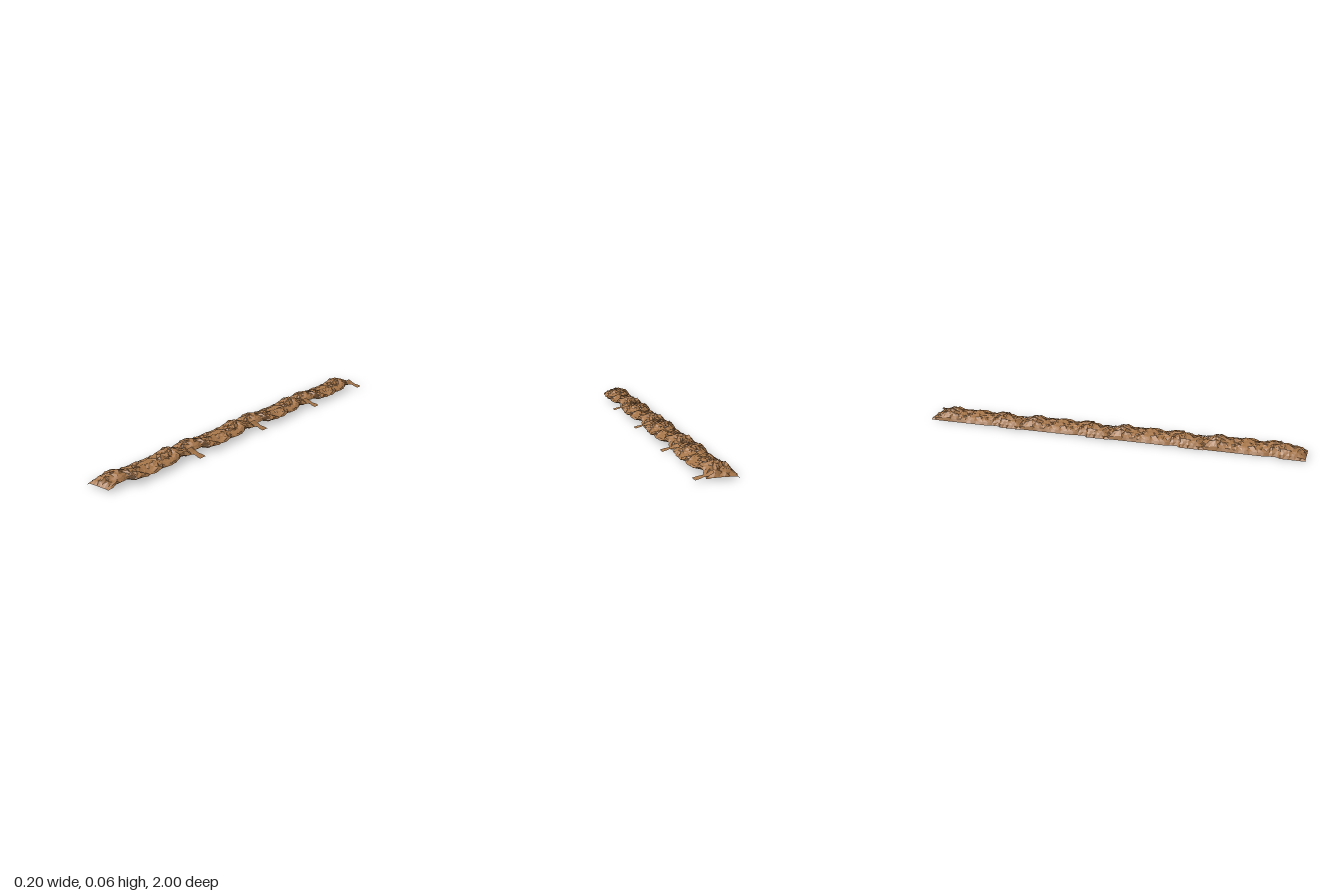
import * as THREE from 'three';

const LENGTH = 0.533, STEP = 0.489, ROWS = 40;

// piecewise linear lookup in [position, value] pairs
function sample(keys, t) {
  let i = 1;
  while (i < keys.length - 1 && t > keys[i][0]) i++;
  const [a, va] = keys[i - 1], [b, vb] = keys[i];
  return va + (vb - va) * THREE.MathUtils.clamp((t - a) / (b - a), 0, 1);
}

// small repeatable random generator
function seeded(seed) {
  return () => {
    seed = (seed * 16807) % 2147483647;
    return seed / 2147483647 - 0.5;
  };
}

// crest height, and the two side outlines, along one stretch of rock
const crest = [[0, 0.014], [0.03, 0.032], [0.07, 0.05], [0.1, 0.068], [0.14, 0.044], [0.2, 0.04],
  [0.25, 0.048], [0.32, 0.036], [0.36, 0.044], [0.43, 0.058], [0.48, 0.044], [0.515, 0.03], [0.533, 0.012]];
const leftEdge = [[0, -0.092], [0.34, -0.092], [0.36, -0.084], [0.4, -0.084], [0.41, -0.1], [0.533, -0.1]];
const rightEdge = [[0, 0.055], [0.04, 0.05], [0.07, 0.043], [0.1, 0.05], [0.16, 0.07],
  [0.4, 0.072], [0.41, 0.038], [0.533, 0.034]];

// cross-section from left to right: [part of width, part of height], with an undercut right side
const section = [[0, 0], [0.05, 0.25], [0.12, 0.5], [0.2, 0.78], [0.29, 0.78], [0.37, 0.92], [0.46, 0.92],
  [0.54, 1], [0.62, 0.98], [0.71, 0.88], [0.79, 0.82], [0.88, 0.72], [0.96, 0.6], [1, 0.4], [0.9, 0.2]];

// surface over rows of points
function sheet(rows) {
  const cols = rows[0].length, index = [];
  for (let i = 0; i < rows.length - 1; i++) {
    for (let j = 0; j < cols - 1; j++) {
      const a = i * cols + j, b = a + cols;
      if ((i + j) % 2) index.push(a, b, a + 1, b, b + 1, a + 1);
      else index.push(a, b, b + 1, a, b + 1, a + 1);
    }
  }
  const g = new THREE.BufferGeometry();
  g.setAttribute('position', new THREE.Float32BufferAttribute(rows.flat(2), 3));
  g.setIndex(index);
  const flat = g.toNonIndexed();
  flat.computeVertexNormals();
  return flat;
}

function ridgeGeometry() {
  const rnd = seeded(4711), rows = [];
  for (let i = 0; i <= ROWS; i++) {
    const t = LENGTH * i / ROWS;
    const l = sample(leftEdge, t), r = sample(rightEdge, t), h = sample(crest, t);
    const endRow = i === 0 || i === ROWS;
    rows.push(section.map(([u, v], j) => {
      const inner = !endRow && j > 0 && j < section.length - 1;
      const k = inner ? 1 : 0;
      // broad lumps plus small chips
      const lump = 0.006 * Math.sin(t * 62 + u * 9) * Math.sin(u * 11 + t * 23);
      const x = l + (r - l) * u + k * rnd() * 0.007;
      const base = j === 0 ? 0.003 : 0.01;
      const y = base + (h - 0.01) * v + k * v * (lump + rnd() * 0.01);
      return [x, Math.max(y, 0.003), t + k * rnd() * 0.006];
    }));
  }
  return sheet(rows);
}

// thin ledge reaching out to the right
function ledgeGeometry() {
  const path = [[0.02, 0.035], [0.045, 0.022], [0.06, 0.019], [0.08, 0.014], [0.1, 0.009]];
  const rows = [0, 0.013, 0.027, 0.041].map((z, i) =>
    path.map(([x, y], j) => [x, y + (i === 1 || i === 2 ? 0.004 * (1 - j / 4) : 0), z + (j === 2 ? (1.5 - i) * 0.004 : 0)]));
  return sheet(rows);
}

export function createModel() {
  const rock = new THREE.MeshStandardMaterial({ color: 0xa8774a, flatShading: true, side: THREE.DoubleSide });
  rock.name = 'brown rock';
  const model = new THREE.Group();
  model.name = 'rockRidge';
  const ridge = ridgeGeometry(), ledge = ledgeGeometry();

  // four overlapping copies of the same stretch
  for (let n = 0; n < 4; n++) {
    const stretch = new THREE.Group();
    stretch.name = 'ridgeStretch' + (n + 1);
    const body = new THREE.Mesh(ridge, rock);
    body.name = 'ridgeBody';
    const tab = new THREE.Mesh(ledge, rock);
    tab.name = 'sideLedge';
    tab.position.z = n === 0 ? 0 : -0.02;
    stretch.add(body, tab);
    stretch.position.set(0, -0.003, -1 + n * STEP);
    model.add(stretch);
  }
  return model;
}
